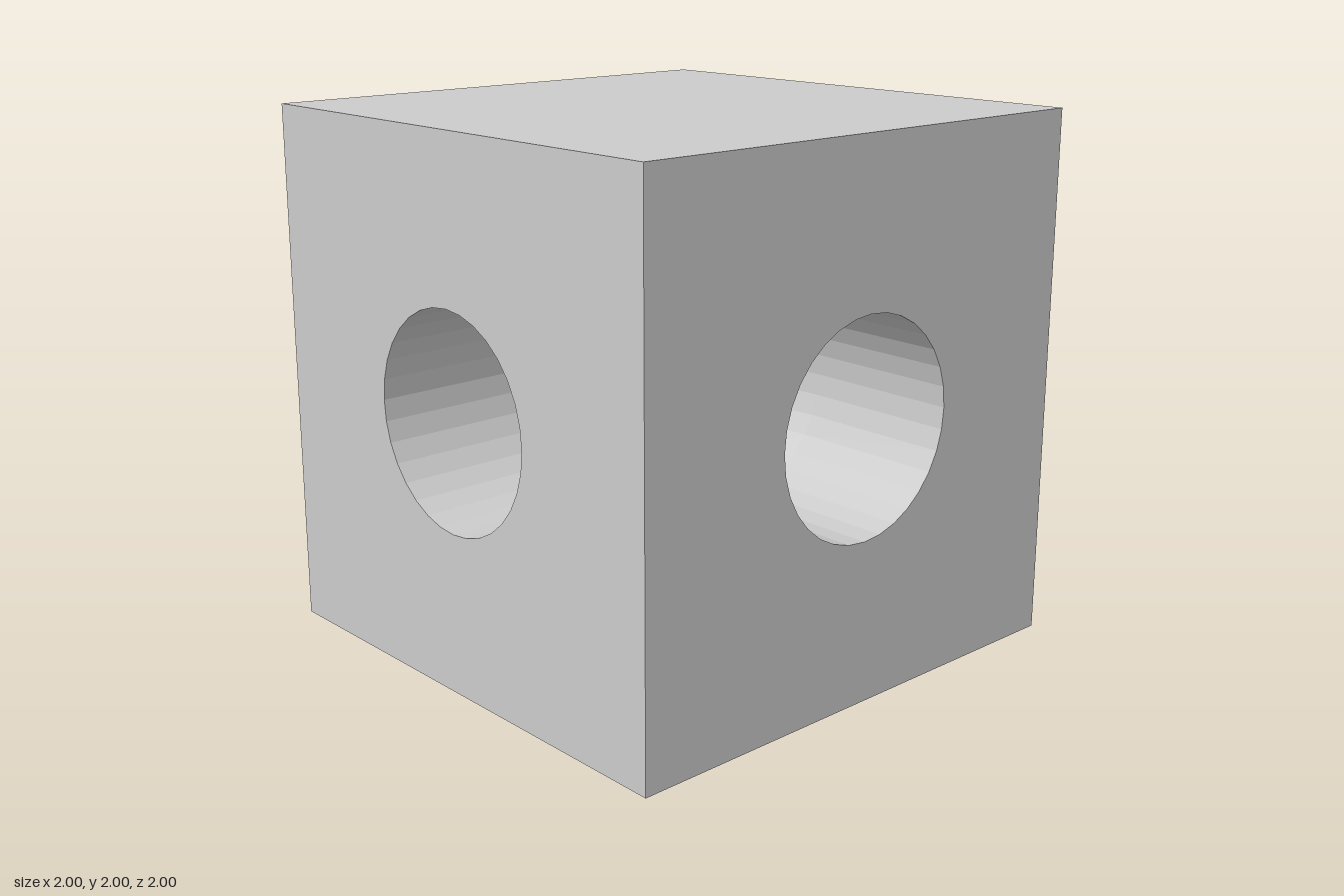
import * as THREE from 'three';

const HALF = 1;      // half the cube's edge
const R = 0.4;       // tunnel radius, also the radius of its bend
const SIDES = 32;    // sides round the tunnel
const BEND = 8;      // segments in the quarter bend

const material = new THREE.MeshStandardMaterial({ color: 0xcccccc, flatShading: true });

// Square wall with a round opening in its middle
function holedWall() {
  const shape = new THREE.Shape();
  shape.moveTo(-HALF, -HALF).lineTo(HALF, -HALF).lineTo(HALF, HALF).lineTo(-HALF, HALF).closePath();
  const hole = new THREE.Path();
  for (let j = 0; j < SIDES; j++) {
    const t = (-j / SIDES) * Math.PI * 2;
    const x = R * Math.cos(t), y = R * Math.sin(t);
    if (j === 0) hole.moveTo(x, y); else hole.lineTo(x, y);
  }
  hole.closePath();
  shape.holes.push(hole);
  return new THREE.ShapeGeometry(shape);
}

// Tunnel skin facing inwards: straight, quarter bend about a vertical line, straight
function tunnelGeometry() {
  const rings = [];
  const addRing = (angle, dx, dz) => {
    const ring = [];
    for (let j = 0; j <= SIDES; j++) {
      const t = (j / SIDES) * Math.PI * 2;
      const reach = R + R * Math.cos(t);
      ring.push([-R + reach * Math.cos(angle) + dx, R * Math.sin(t), R - reach * Math.sin(angle) + dz]);
    }
    rings.push(ring);
  };
  addRing(0, 0, HALF - R);
  for (let i = 0; i <= BEND; i++) addRing((i / BEND) * Math.PI / 2, 0, 0);
  addRing(Math.PI / 2, R - HALF, 0);

  const positions = [];
  for (let i = 0; i < rings.length - 1; i++) {
    for (let j = 0; j < SIDES; j++) {
      const a = rings[i][j], b = rings[i + 1][j];
      const c = rings[i][j + 1], d = rings[i + 1][j + 1];
      positions.push(...a, ...c, ...b, ...b, ...c, ...d);
    }
  }
  const geometry = new THREE.BufferGeometry();
  geometry.setAttribute('position', new THREE.Float32BufferAttribute(positions, 3));
  geometry.computeVertexNormals();
  return geometry;
}

export function createModel() {
  const model = new THREE.Group();
  model.name = 'cubeWithElbowTunnel';

  const add = (name, geometry) => {
    const mesh = new THREE.Mesh(geometry, material);
    mesh.name = name;
    mesh.position.y = HALF;
    model.add(mesh);
  };

  // Cube walls: name, turn about x, turn about y, open to the tunnel
  const walls = [
    ['frontWall', 0, 0, true],
    ['rightWall', 0, -Math.PI / 2, true],
    ['backWall', 0, Math.PI, false],
    ['leftWall', 0, Math.PI / 2, false],
    ['topWall', -Math.PI / 2, 0, false],
    ['bottomWall', Math.PI / 2, 0, false],
  ];
  for (const [name, rx, ry, open] of walls) {
    const wall = open ? holedWall() : new THREE.PlaneGeometry(2 * HALF, 2 * HALF);
    add(name, wall.translate(0, 0, HALF).rotateX(rx).rotateY(ry));
  }

  add('elbowTunnel', tunnelGeometry());
  return model;
}
